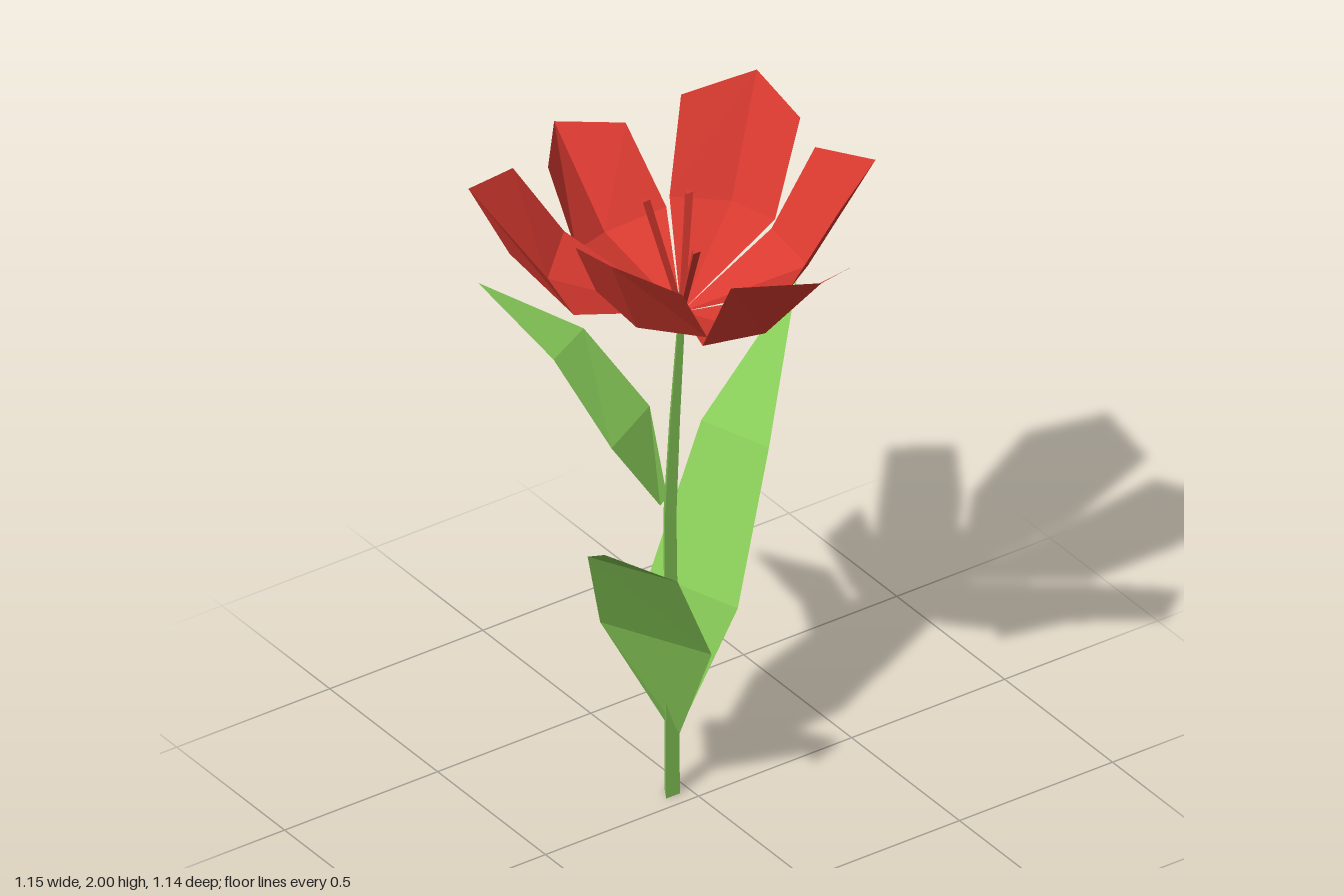
import * as THREE from 'three';

const petalMaterial = new THREE.MeshStandardMaterial({ color: 0xd93a30, flatShading: true, side: THREE.DoubleSide });
const greenMaterial = new THREE.MeshStandardMaterial({ color: 0x86c957, flatShading: true, side: THREE.DoubleSide });

// Skins a list of cross-sections (equal-length rows of points), dropping collapsed triangles
function skin(name, rows, material) {
  const positions = [];
  const same = (p, q) => p.every((v, i) => v === q[i]);
  const triangle = (a, b, c) => {
    if (!same(a, b) && !same(b, c) && !same(a, c)) positions.push(...a, ...b, ...c);
  };
  for (let i = 0; i < rows.length - 1; i++) {
    for (let j = 0; j < rows[i].length - 1; j++) {
      const [a, b] = [rows[i][j], rows[i][j + 1]];
      const [c, d] = [rows[i + 1][j], rows[i + 1][j + 1]];
      triangle(a, b, d);
      triangle(a, d, c);
    }
  }
  const geometry = new THREE.BufferGeometry();
  geometry.setAttribute('position', new THREE.Float32BufferAttribute(positions, 3));
  geometry.computeVertexNormals();
  const mesh = new THREE.Mesh(geometry, material);
  mesh.name = name;
  return mesh;
}

// Three-sided rod along a path of [x, y, z, radius], closed at both ends
function rod(name, path, material) {
  const ring = ([x, y, z, r]) => [0, 1, 2, 3].map((k) => {
    const a = -Math.PI / 2 - ((k % 3) * Math.PI * 2) / 3;
    return [x + r * Math.cos(a), y, z + r * Math.sin(a)];
  });
  const cap = ([x, y, z]) => Array(4).fill([x, y, z]);
  return skin(name, [cap(path[0]), ...path.map(ring), cap(path[path.length - 1])], material);
}

const heart = [-0.04, 1.54, -0.025];

// Each petal: a middle and an outer row of three points, keeled along the centre
const petals = {
  backPetal: [
    [[-0.21, 1.67, -0.27], [-0.06, 1.63, -0.35], [0.12, 1.66, -0.32]],
    [[-0.21, 1.865, -0.40], [-0.07, 1.87, -0.57], [0.10, 1.85, -0.48]]],
  backLeftPetal: [
    [[0.12, 1.7, -0.305], [0.27, 1.67, -0.23], [0.285, 1.7, -0.05]],
    [[0.225, 1.935, -0.40], [0.43, 1.97, -0.34], [0.41, 1.945, -0.11]]],
  frontLeftPetal: [
    [[0.27, 1.68, -0.045], [0.28, 1.64, 0.11], [0.145, 1.67, 0.215]],
    [[0.395, 1.905, -0.02], [0.455, 1.945, 0.175], [0.26, 1.905, 0.28]]],
  frontPetal: [
    [[0.16, 1.69, 0.27], [-0.015, 1.65, 0.33], [-0.205, 1.67, 0.31]],
    [[0.18, 1.85, 0.45], [0, 1.93, 0.57], [-0.19, 1.905, 0.42]]],
  frontRightPetal: [
    [[-0.18, 1.68, 0.295], [-0.315, 1.69, 0.16], [-0.335, 1.73, 0]],
    [[-0.315, 1.905, 0.37], [-0.47, 1.995, 0.26], [-0.445, 1.94, 0.06]]],
  backRightPetal: [
    [[-0.425, 1.7, 0.025], [-0.37, 1.69, -0.175], [-0.235, 1.73, -0.29]],
    [[-0.575, 1.905, -0.06], [-0.565, 2, -0.265], [-0.36, 1.945, -0.35]]],
};

// Each leaf: edge pairs from the stem outwards, then a tip
const leaves = {
  leftLeaf: {
    rows: [
      [[-0.04, 0.2, -0.035], [-0.045, 0.2, -0.075]],
      [[0.10, 0.58, 0.04], [0.01, 0.58, -0.24]],
      [[0.29, 0.955, -0.085], [0.22, 0.955, -0.30]]],
    tip: [0.575, 1.24, -0.36],
  },
  rightLeaf: {
    rows: [
      [[-0.04, 0.2, -0.03], [-0.05, 0.2, -0.06]],
      [[-0.07, 0.56, 0.16], [-0.23, 0.57, -0.13]],
      [[-0.255, 0.915, 0.265], [-0.38, 0.915, 0.025]]],
    tip: [-0.575, 1.18, 0.38],
  },
  backLeaf: {
    rows: [
      [[-0.09, 0.93, -0.05], [-0.06, 0.94, -0.06]],
      [[-0.235, 1.155, -0.07], [-0.04, 1.165, -0.17]],
      [[-0.315, 1.385, -0.225], [-0.16, 1.385, -0.305]]],
    tip: [-0.40, 1.54, -0.455],
  },
};

export function createModel() {
  const model = new THREE.Group();
  model.name = 'flower';

  // Slightly bent stem
  model.add(rod('stem', [
    [-0.055, 0, -0.053, 0.026],
    [-0.06, 0.25, -0.048, 0.025],
    [-0.073, 0.9, -0.037, 0.022],
    [-0.06, 1.2, -0.032, 0.018],
    [...heart, 0.012],
  ], greenMaterial));

  // Leaves
  for (const [name, { rows, tip }] of Object.entries(leaves)) {
    model.add(skin(name, [...rows, [tip, tip]], greenMaterial));
  }

  // Petals
  const blossom = new THREE.Group();
  blossom.name = 'blossom';
  for (const [name, rows] of Object.entries(petals)) {
    blossom.add(skin(name, [[heart, heart, heart], ...rows], petalMaterial));
  }

  // Stamens
  const stamenTips = [[-0.14, 1.92, -0.05], [0.04, 1.85, -0.105], [-0.105, 1.84, 0.135]];
  for (const tip of stamenTips) {
    blossom.add(rod('stamen', [[...heart, 0.01], [...tip, 0.014]], petalMaterial));
  }
  model.add(blossom);

  return model;
}
